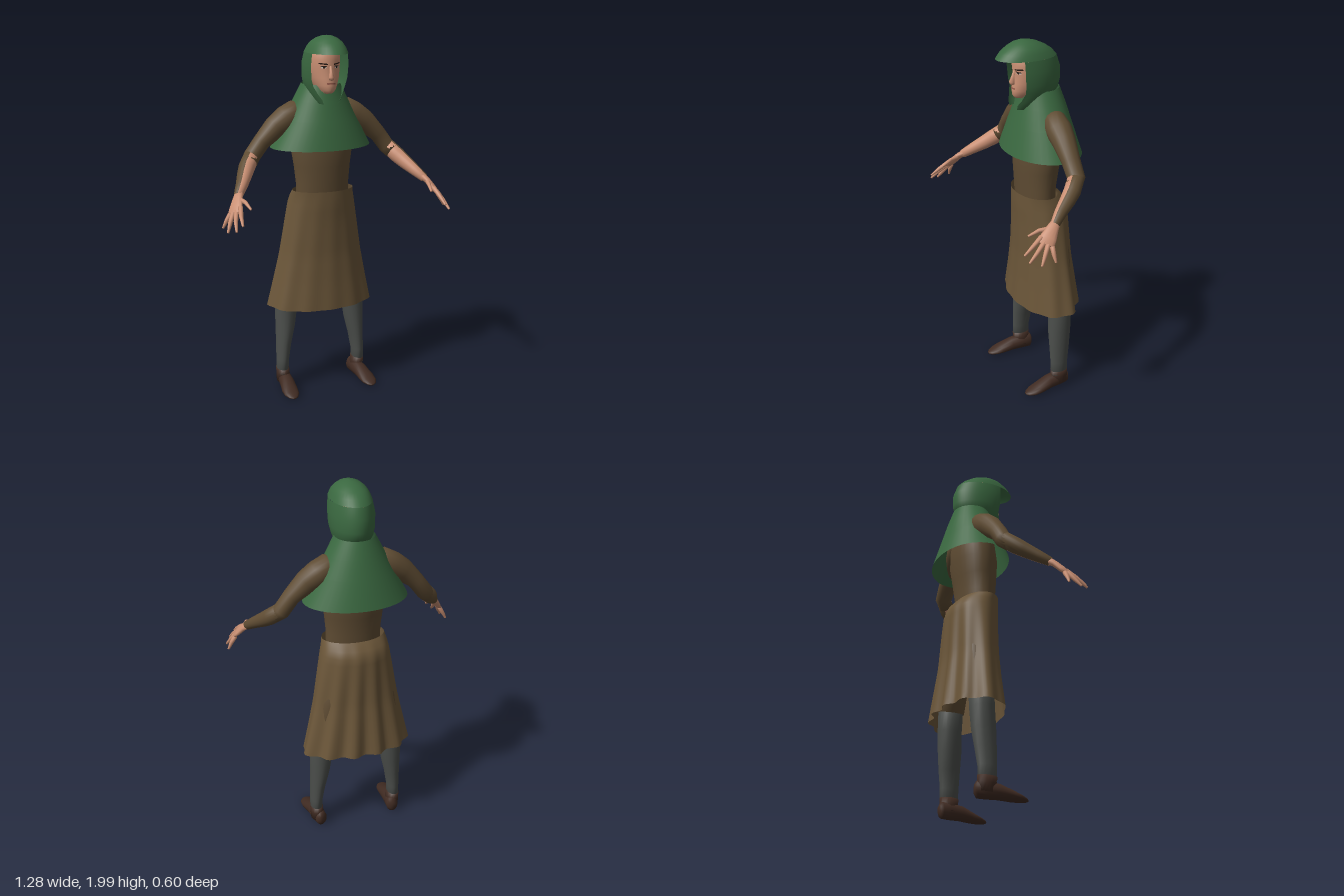
import * as THREE from 'three';

const mat = (name, color, side = THREE.FrontSide) => {
  const m = new THREE.MeshStandardMaterial({ color, side });
  m.name = name;
  return m;
};

export function createModel() {
  const green = mat('green wool', 0x3a6840, THREE.DoubleSide);
  const brown = mat('brown tunic', 0x5f4c33);
  const skirtBrown = mat('light brown skirt', 0x6b5639, THREE.DoubleSide);
  const skin = mat('skin', 0xc98f73);
  const grey = mat('grey stockings', 0x4b4e4b);
  const leather = mat('dark leather', 0x402b22);
  const dark = mat('dark hair', 0x2a1c16);
  const white = mat('eye white', 0xd8cfc6);
  const lips = mat('lips', 0x94594a);

  const model = new THREE.Group();
  const add = (name, geo, material, parent = model) => {
    const m = new THREE.Mesh(geo, material);
    m.name = name;
    parent.add(m);
    return m;
  };

  // Skin a list of point rings; pick() may send a face to a second material
  function loft(rings, closed = true, pick = null) {
    const n = rings[0].length, faces = [[], []];
    for (let i = 0; i < rings.length - 1; i++) {
      for (let j = 0; j < (closed ? n : n - 1); j++) {
        const k = (j + 1) % n;
        const a = i * n + j, b = i * n + k, c = b + n, d = a + n;
        faces[pick && pick(i, j) ? 1 : 0].push(a, b, c, a, c, d);
      }
    }
    const g = new THREE.BufferGeometry().setFromPoints(rings.flat());
    g.setIndex(faces.flat());
    if (pick) {
      g.addGroup(0, faces[0].length, 0);
      g.addGroup(faces[0].length, faces[1].length, 1);
    }
    g.computeVertexNormals();
    return g;
  }

  // Horizontal elliptical ring from a row [y, half width, front z, back z]
  function ring([y, rx, zf, zb], n = 32, clip = null) {
    const cz = (zf + zb) / 2, rz = (zf - zb) / 2, pts = [];
    const a0 = clip === null ? 0 : Math.acos((clip - cz) / rz);
    for (let j = 0; j < n; j++) {
      const a = clip === null ? (j / n) * Math.PI * 2 : a0 + (j / (n - 1)) * 2 * (Math.PI - a0);
      pts.push(new THREE.Vector3(rx * Math.sin(a), y, cz + rz * Math.cos(a)));
    }
    return pts;
  }
  const body = (rows, n) => loft(rows.map(r => ring(r, n)));

  // Rows interpolated at any height
  function rowAt(rows, y) {
    let i = 0;
    while (i < rows.length - 2 && rows[i + 1][0] < y) i++;
    const t = (y - rows[i][0]) / (rows[i + 1][0] - rows[i][0]);
    return rows[i].map((v, k) => v + (rows[i + 1][k] - v) * t);
  }

  // Closed limb through [x, y, z, r1, r2]; r1 lies along ref; s mirrors in x
  function limb(points, s, ref, n = 12, skinDir = null) {
    const c = points.map(p => new THREE.Vector3(p[0] * s, p[1], p[2]));
    const rv = new THREE.Vector3(ref[0] * s, ref[1], ref[2]);
    const rings = c.map((p, i) => {
      const t = c[Math.min(i + 1, c.length - 1)].clone().sub(c[Math.max(i - 1, 0)]).normalize();
      const u = rv.clone().addScaledVector(t, -rv.dot(t)).normalize();
      const v = t.clone().cross(u);
      const [, , , r1, r2 = r1] = points[i];
      return Array.from({ length: n }, (_, j) => {
        const a = (j / n) * Math.PI * 2;
        return p.clone().addScaledVector(u, r1 * Math.cos(a)).addScaledVector(v, r2 * Math.sin(a));
      });
    });
    const all = [rings[0].map(() => c[0].clone()), ...rings, rings[0].map(() => c[c.length - 1].clone())];
    const dir = skinDir && new THREE.Vector3(skinDir[0] * s, skinDir[1], skinDir[2]);
    const pick = dir && ((i, j) => i > 0 && i <= c.length &&
      all[i][j].clone().add(all[i][(j + 1) % n]).multiplyScalar(0.5).sub(c[i - 1]).dot(dir) > 0.003);
    return loft(all, true, pick);
  }

  // Torso
  add('torso', body([[1.0, .15, .02, -.16], [1.2, .15, .032, -.17], [1.3, .16, .038, -.185],
    [1.4, .175, .042, -.2], [1.5, .165, .03, -.2], [1.6, .14, .0, -.18], [1.66, .06, -.04, -.13]]), brown);

  // Skirt with folds deepening toward the hem and the back
  const skirtRows = [[.49, .302, .055, -.275], [.65, .267, .043, -.258], [.8, .236, .036, -.242], [1.0, .205, .04, -.235],
    [1.09, .19, .045, -.23], [1.125, .182, .045, -.215], [1.165, .173, .045, -.175]];
  const skirtRings = [];
  for (let i = 0; i <= 18; i++) {
    const y = .49 + .675 * i / 18, t = 1 - i / 18;
    skirtRings.push(ring(rowAt(skirtRows, y), 96).map((p, j) => {
      const a = (j / 96) * Math.PI * 2, back = (1 - Math.cos(a)) / 2;
      const f = 1 + Math.sin(11 * a + 1.5 * Math.sin(2 * a) + t) * (.015 + .075 * back) * Math.pow(t, .7);
      return new THREE.Vector3(p.x * (1 + (f - 1) * .6), y + t * t * back * .02, -.11 + (p.z + .11) * f);
    }));
  }
  add('skirt', loft(skirtRings), skirtBrown);

  // Shoulder cape, open below
  add('cape', body([[1.4, .282, .1, -.3], [1.55, .203, .065, -.258], [1.65, .152, .035, -.23], [1.74, .105, .015, -.2]], 40), green);

  // Hood: crown with brim, then sides open around the face
  const hood = new THREE.Group();
  hood.name = 'hood';
  model.add(hood);
  add('hoodCrown', body([[1.91, .107, .155, -.182], [1.94, .096, .132, -.155], [1.965, .08, .1, -.118],
    [1.985, .055, .066, -.075], [1.996, .028, .034, -.035], [2.0, .0005, .001, -.001]], 36), green, hood);
  const sides = [[1.645, .06, .085, -.1, .06], [1.67, .077, .09, -.13, .062], [1.7, .092, .095, -.16, .048], [1.74, .106, .11, -.193, .035],
    [1.78, .114, .13, -.203, .038], [1.85, .116, .145, -.203, .043], [1.91, .107, .155, -.182, .045]];
  add('hoodSides', loft(sides.map(r => ring(r, 36, r[4])), false), green, hood);

  // Head and neck
  const head = new THREE.Group();
  head.name = 'head';
  model.add(head);
  const headRows = [[1.6, .05, -.01, -.12], [1.69, .05, .0, -.12], [1.7, .035, .052, -.12], [1.715, .048, .064, -.12], [1.74, .06, .065, -.125],
    [1.78, .073, .062, -.13], [1.83, .08, .055, -.135], [1.87, .083, .06, -.14], [1.92, .078, .05, -.13], [1.96, .04, .02, -.08]];
  add('face', body(headRows, 40), skin, head);

  // Thin patches that follow the face surface
  function patch(name, geo, x, y, tilt, lift, material) {
    geo.rotateZ(tilt).translate(x, y, 0);
    const p = geo.attributes.position;
    for (let i = 0; i < p.count; i++) {
      const [, rx, zf, zb] = rowAt(headRows, p.getY(i));
      const q = p.getX(i) / rx;
      p.setZ(i, (zf + zb) / 2 + (zf - zb) / 2 * Math.sqrt(Math.max(0, 1 - q * q)) + lift);
    }
    geo.computeVertexNormals();
    add(name, geo, material, head);
  }
  for (const s of [1, -1]) {
    patch('eyeWhite', new THREE.CircleGeometry(.012, 16).scale(1.1, .45, 1), s * .036, 1.836, 0, .002, white);
    patch('iris', new THREE.CircleGeometry(.006, 12), s * .035, 1.837, 0, .003, dark);
    patch('upperLid', new THREE.PlaneGeometry(.03, .004, 6, 1), s * .036, 1.842, s * -.08, .0035, dark);
    patch('eyebrow', new THREE.PlaneGeometry(.042, .007, 6, 1), s * .038, 1.855, s * .12, .004, dark);
  }
  patch('mouth', new THREE.PlaneGeometry(.046, .008, 8, 2), 0, 1.752, 0, .003, lips);
  add('nose', limb([[0, 1.842, .05, .007, .01], [0, 1.81, .058, .009, .014],
    [0, 1.785, .067, .015, .017], [0, 1.774, .062, .013, .013]], 1, [1, 0, 0]), skin, head);

  // Arms, hands, legs and shoes, mirrored
  for (const s of [1, -1]) {
    const side = s > 0 ? 'left' : 'right';
    const arm = new THREE.Group();
    arm.name = side + 'Arm';
    model.add(arm);
    add('upperSleeve', limb([[.08, 1.59, -.1, .05], [.15, 1.585, -.1, .066, .068], [.2, 1.555, -.1, .07, .07], [.26, 1.515, -.095, .062, .062],
      [.34, 1.44, -.09, .05, .046], [.395, 1.367, -.09, .047, .045], [.42, 1.34, -.06, .044]], s, [0, 0, 1], 16), brown, arm);
    // Forearm: sleeve outside, bare skin on the inner face
    add('forearm', limb([[.4, 1.365, -.085, .043], [.44, 1.32, -.04, .044], [.465, 1.29, 0, .04], [.5, 1.25, .06, .032],
      [.535, 1.212, .112, .024]], s, [0, 0, 1], 24, [-.8, .05, .6]), [brown, skin], arm);
    const across = [-.045, .03, .05];
    add('palm', limb([[.525, 1.222, .098, .023, .02], [.545, 1.2, .13, .031, .017], [.565, 1.165, .165, .042, .016],
      [.582, 1.14, .187, .042, .011]], s, across, 14), skin, arm);
    const fingers = [
      [[.55, 1.172, .195], [.563, 1.135, .25], [.57, 1.1, .3]],
      [[.57, 1.152, .19], [.589, 1.11, .24], [.6, 1.07, .288]],
      [[.585, 1.14, .178], [.61, 1.095, .208], [.63, 1.055, .235]],
      [[.595, 1.13, .16], [.617, 1.095, .162], [.635, 1.06, .16]],
      [[.54, 1.2, .135], [.522, 1.193, .195], [.51, 1.168, .248]],
    ];
    fingers.forEach(([a, b, c], i) => add(i < 4 ? 'finger' : 'thumb',
      limb([[...a, .013], [...b, .011], [...c, .006]], s, across, 8), skin, arm));

    const leg = new THREE.Group();
    leg.name = side + 'Leg';
    model.add(leg);
    const X = [1, 0, 0];
    add('stocking', limb([[.233, .09, -.105, .033, .05], [.231, .17, -.105, .034, .052], [.222, .27, -.11, .042, .06],
      [.21, .37, -.115, .054, .066], [.202, .48, -.12, .063, .066], [.19, .62, -.12, .066, .068]], s, X, 18), grey, leg);
    add('breeches', limb([[.19, .58, -.12, .07, .072], [.135, .8, -.12, .085], [.09, 1.02, -.1, .085]], s, X, 18), brown, leg);
    add('shoe', limb([[.212, .05, -.166, .018, .025], [.215, .05, -.155, .032, .044], [.222, .051, -.11, .037, .046],
      [.228, .047, -.04, .041, .04], [.236, .031, .03, .046, .026], [.238, .023, .07, .042, .017],
      [.238, .018, .1, .026, .01], [.238, .016, .112, .01, .004]], s, X, 18), leather, leg);
    add('shoeCuff', limb([[.224, .04, -.108, .04, .052], [.23, .085, -.106, .036, .051], [.232, .118, -.105, .036, .053]], s, X, 18), leather, leg);
  }
  return model;
}
